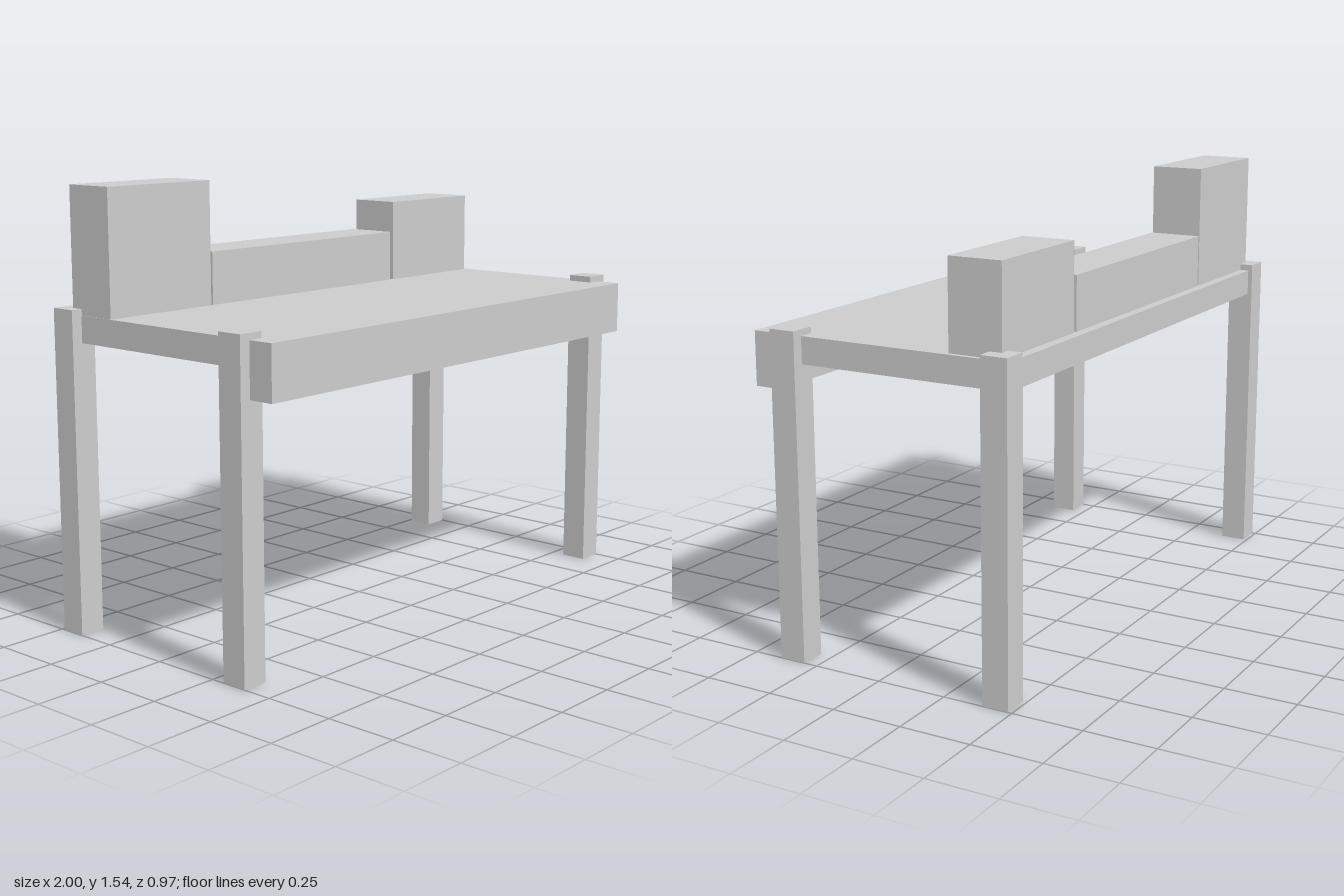
import * as THREE from 'three';

export function createModel() {
  const group = new THREE.Group();
  const material = new THREE.MeshStandardMaterial({ color: 0xcccccc, flatShading: true });

  // Adds a box spanning the given [min, max] ranges
  function addBox(name, [x0, x1], [y0, y1], [z0, z1]) {
    const mesh = new THREE.Mesh(new THREE.BoxGeometry(x1 - x0, y1 - y0, z1 - z0), material);
    mesh.name = name;
    mesh.position.set((x0 + x1) / 2, (y0 + y1) / 2, (z0 + z1) / 2);
    group.add(mesh);
  }

  // Table top, with the apron hanging from its front edge
  addBox('tableTop', [-0.96, 0.96], [1.015, 1.108], [-0.471, 0.393]);
  addBox('frontApron', [-0.96, 0.96], [0.922, 1.108], [0.393, 0.487]);

  // Four square legs, their tops standing just proud of the table top
  for (const [side, x] of [['left', 0.953], ['right', -0.953]]) {
    for (const [end, z] of [['Front', 0.347], ['Back', -0.44]]) {
      const h = 0.047;
      addBox(`${side}${end}Leg`, [x - h, x + h], [0, 1.13], [z - h, z + h]);
    }
  }

  // Row of cabinets along the back
  const depth = [-0.437, -0.247];
  addBox('rightCabinet', [-0.958, -0.5], [1.108, 1.542], depth);
  addBox('middleCabinet', [-0.492, 0.468], [1.108, 1.295], depth);
  addBox('leftCabinet', [0.486, 0.943], [1.108, 1.41], depth);

  return group;
}
